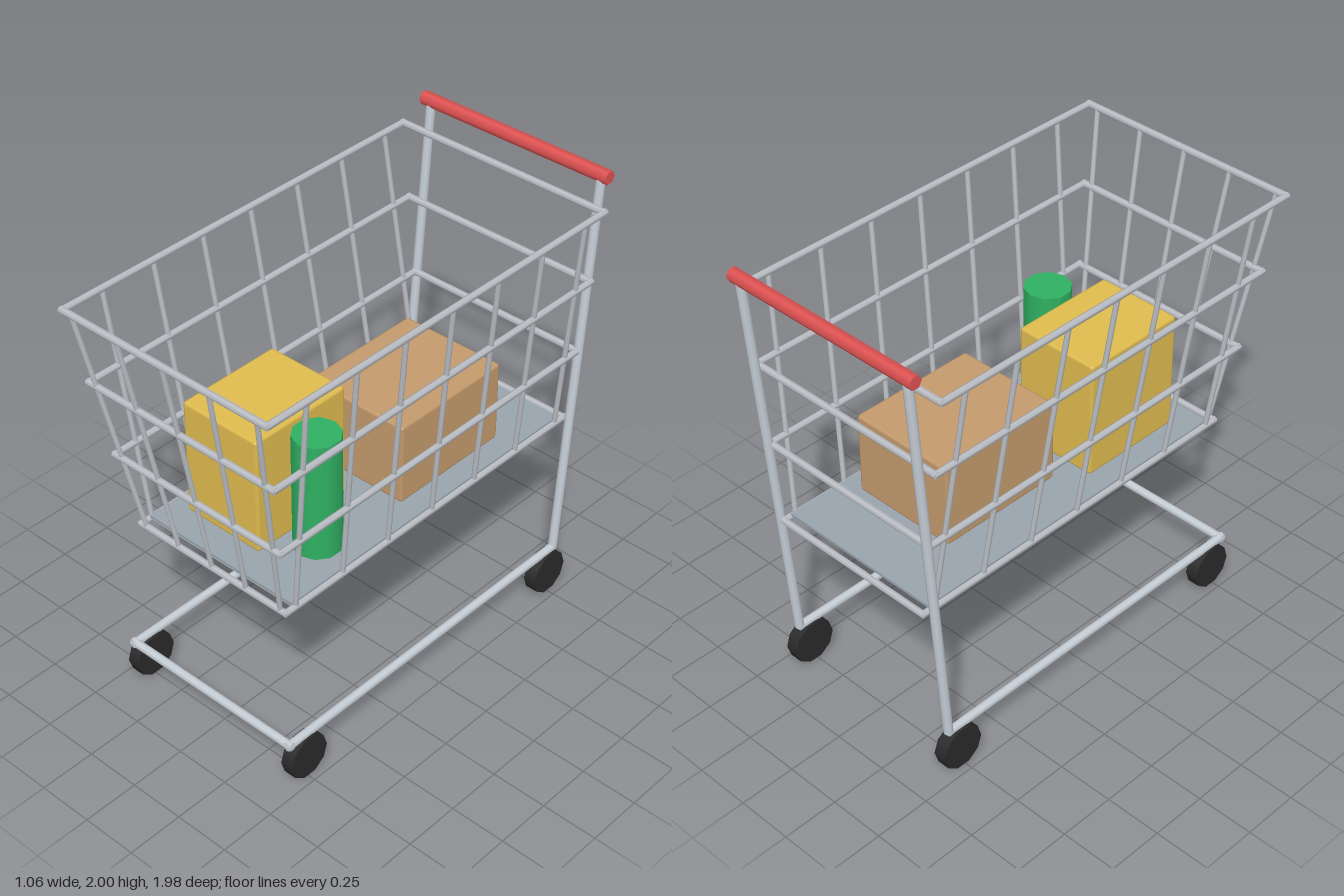
import * as THREE from 'three';
import { RoundedBoxGeometry } from 'three/addons/geometries/RoundedBoxGeometry.js';

const mat = (name, color) => {
  const m = new THREE.MeshStandardMaterial({ color });
  m.name = name;
  return m;
};

export function createModel() {
  const steel = mat('steel', 0xc6ced6);
  const wire = mat('wire', 0xbcc0c6);
  const slate = mat('slate', 0x98a3ac);
  const red = mat('red', 0xe05252);
  const black = mat('black', 0x2a2a2a);
  const yellow = mat('yellow', 0xdfbb4e);
  const brown = mat('brown', 0xc49a6c);
  const green = mat('green', 0x2fb062);

  const cart = new THREE.Group();
  cart.name = 'shoppingCart';
  const group = (name) => {
    const g = new THREE.Group();
    g.name = name;
    cart.add(g);
    return g;
  };
  const add = (parent, name, geometry, material, x = 0, y = 0, z = 0) => {
    const m = new THREE.Mesh(geometry, material);
    m.name = name;
    m.position.set(x, y, z);
    parent.add(m);
    return m;
  };
  // straight smooth rod between two points
  const rod = (parent, name, a, b, r, material, sides = 6) => {
    const p = new THREE.Vector3(...a), q = new THREE.Vector3(...b);
    const dir = q.clone().sub(p);
    const m = add(parent, name, new THREE.CylinderGeometry(r, r, dir.length(), sides), material);
    m.position.copy(p).add(q).multiplyScalar(0.5);
    m.quaternion.setFromUnitVectors(new THREE.Vector3(0, 1, 0), dir.normalize());
  };

  // chassis: side rails, leaning rear posts, front bar and wheels
  const chassis = group('chassis');
  for (const s of [-1, 1]) {
    const x = 0.435 * s;
    rod(chassis, 'sideRail', [x, 0.195, 0.835], [x, 0.195, -0.815], 0.019, steel, 8);
    rod(chassis, 'rearPost', [x, 0.195, -0.81], [x, 1.97, -0.96], 0.02, steel, 8);
    for (const z of [0.74, -0.76]) {
      const wheel = add(chassis, 'wheel', new THREE.CylinderGeometry(0.1, 0.1, 0.058, 10), black, x, 0.095, z);
      wheel.rotation.z = Math.PI / 2;
    }
  }
  rod(chassis, 'frontBar', [-0.45, 0.195, 0.82], [0.45, 0.195, 0.82], 0.019, steel, 8);
  rod(cart, 'handle', [-0.475, 1.974, -0.96], [0.475, 1.974, -0.96], 0.03, red);

  // basket: four flared rings, [height, half width, front z]
  const basket = group('basket');
  const back = -0.882, low = 0.826, high = 1.872;
  const rings = [[low, 0.39, 0.78], [1.183, 0.436, 0.848], [1.536, 0.477, 0.912], [high, 0.517, 0.976]];
  for (const [y, x, z] of rings) {
    for (const s of [-1, 1]) rod(basket, 'ringSide', [s * x, y, back - 0.008], [s * x, y, z + 0.008], 0.015, wire);
    for (const end of [z, back]) rod(basket, 'ringEnd', [-x - 0.008, y, end], [x + 0.008, y, end], 0.015, wire);
  }

  // side uprights with a cross wire under the floor
  for (let i = 0; i < 7; i++) {
    const z = 0.725 - i * 0.258;
    for (const s of [-1, 1]) rod(basket, 'sideWire', [s * 0.39, low, z], [s * 0.517, high, z + 0.058], 0.011, wire);
    rod(basket, 'floorWire', [-0.39, low, z], [0.39, low, z], 0.011, wire);
  }
  // front uprights
  for (let i = -2; i <= 2; i++) {
    rod(basket, 'frontWire', [i * 0.181, low, 0.78], [i * 0.235, high, 0.976], 0.011, wire);
  }
  add(basket, 'floor', new THREE.BoxGeometry(0.77, 0.012, 1.59), slate, 0, 0.84, -0.055);

  // groceries
  const goods = group('groceries');
  add(goods, 'yellowBox', new RoundedBoxGeometry(0.39, 0.53, 0.49, 1, 0.014), yellow, -0.1, 1.115, 0.375);
  add(goods, 'brownBox', new RoundedBoxGeometry(0.495, 0.37, 0.59, 1, 0.014), brown, 0.048, 1.035, -0.27);
  add(goods, 'greenCan', new THREE.CylinderGeometry(0.1, 0.1, 0.535, 10), green, 0.217, 1.113, 0.42);

  return cart;
}
